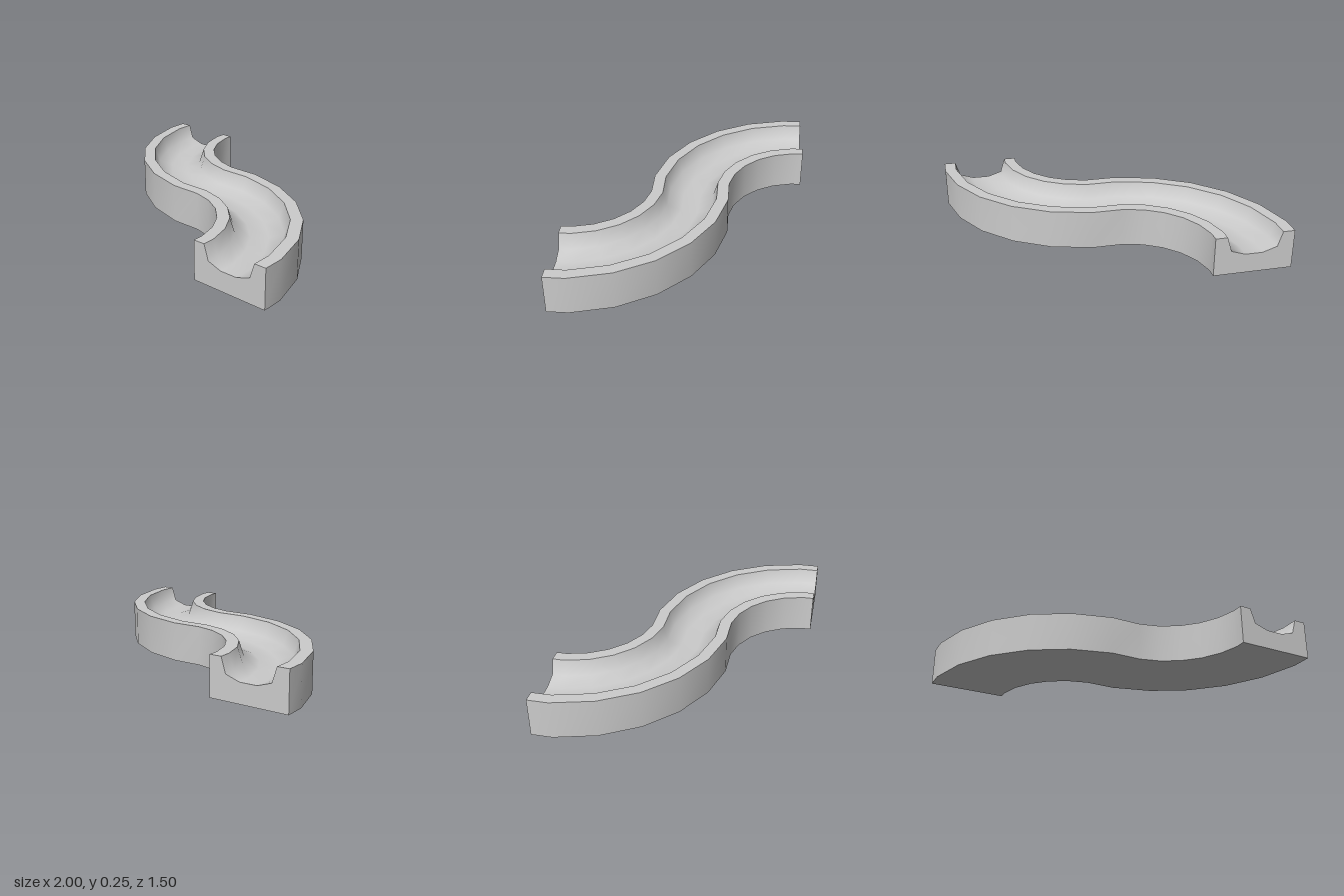
import * as THREE from 'three';
import { toCreasedNormals } from 'three/addons/utils/BufferGeometryUtils.js';

// Half of the channel profile: [offset from the middle, height]
const HALF = [[0.25, 0], [0.25, 0.25], [0.175, 0.25], [0.145, 0.155], [0.055, 0.125]];
const RADIUS = 0.75;
const STEP = Math.PI / 12;
const BENDS = 7; // stations in each quarter turn

// Maps an offset x at a station of the S-shaped path to the ground plane
function onPath(x, station) {
  const second = station >= BENDS;
  const i = second ? 2 * BENDS - 1 - station : station;
  const angle = i === 0 ? 0 : (i - 0.5) * STEP;
  const stretch = i === 0 ? 1 : 1 / Math.cos(STEP / 2);
  const r = (RADIUS + (second ? x : -x)) * stretch;
  const px = -Math.cos(angle) * r;
  const pz = -RADIUS + Math.sin(angle) * r;
  return second ? [-px, -pz] : [px, pz];
}

export function createModel() {
  const group = new THREE.Group();
  group.name = 'curvedTrack';

  // Straight channel block, one step per station
  const points = [...HALF, ...HALF.map(([x, y]) => [-x, y]).reverse()];
  const shape = new THREE.Shape(points.map(([x, y]) => new THREE.Vector2(x, y)));
  const last = 2 * BENDS - 1;
  const geometry = new THREE.ExtrudeGeometry(shape, { depth: last, steps: last, bevelEnabled: false });

  // Bend it along the two opposite quarter turns
  const pos = geometry.attributes.position;
  for (let v = 0; v < pos.count; v++) {
    const [x, z] = onPath(pos.getX(v), Math.round(pos.getZ(v)));
    pos.setXYZ(v, x, pos.getY(v), z);
  }

  // Smooth along the bends and the groove, sharp at the rims and ends
  const mesh = new THREE.Mesh(
    toCreasedNormals(geometry, 1.08),
    new THREE.MeshStandardMaterial({ color: 0xcccccc })
  );
  mesh.name = 'channel';
  group.add(mesh);
  return group;
}
